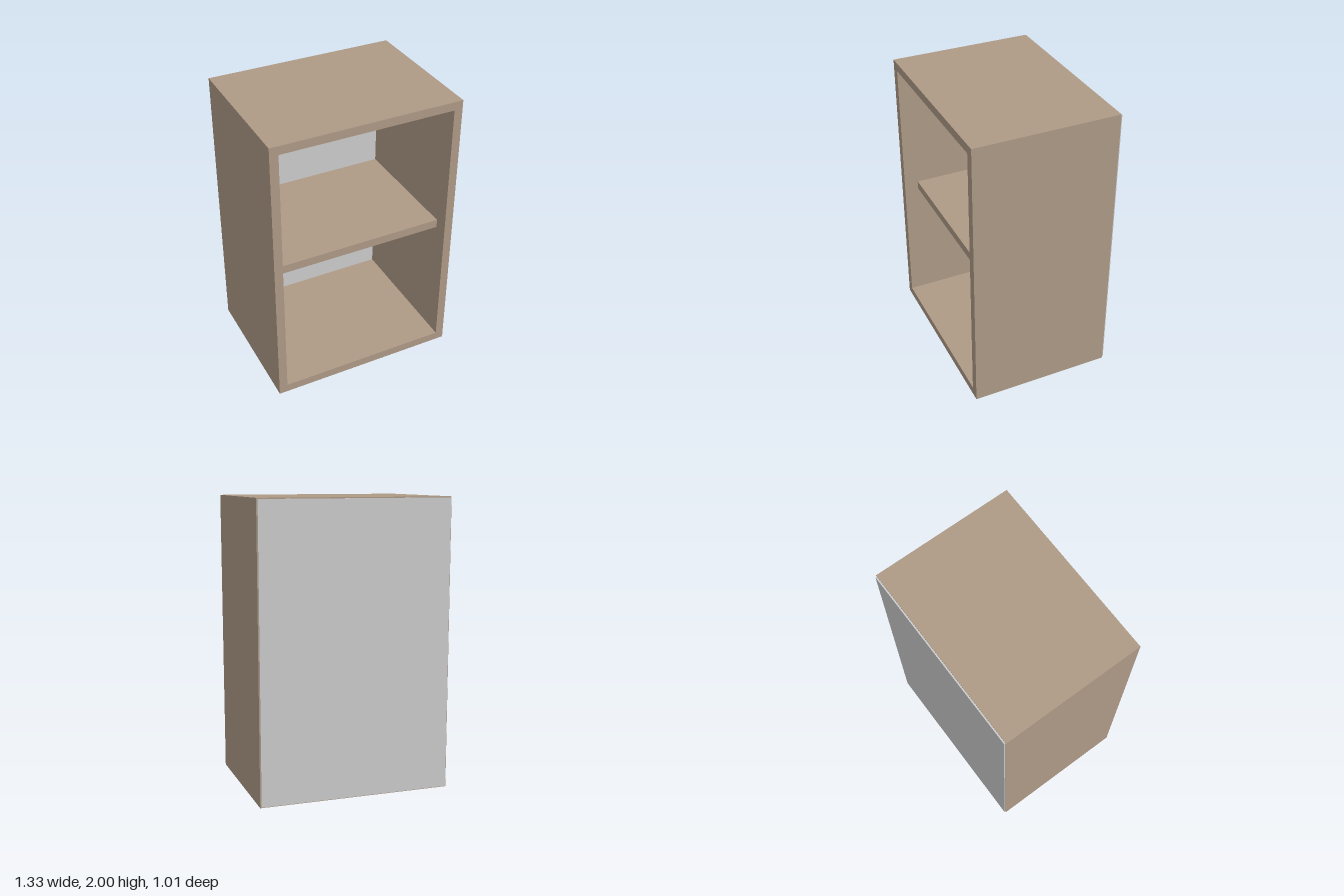
import * as THREE from 'three';

const W = 1.333, H = 2, D = 1;      // carcass size
const T = 0.06;                     // board thickness
const BACK = 0.01;                  // back panel thickness
const Z = BACK / 2;                 // carcass centre, leaving room for the back panel
const SHELF_RECESS = 0.1;

export function createModel() {
  const wood = new THREE.MeshStandardMaterial({ color: 0xae9a86 });
  wood.name = 'light brown wood';
  const grey = new THREE.MeshStandardMaterial({ color: 0xcccccc });
  grey.name = 'pale grey panel';

  const cabinet = new THREE.Group();
  cabinet.name = 'cabinet';

  const board = (name, material, size, position) => {
    const mesh = new THREE.Mesh(new THREE.BoxGeometry(...size), material);
    mesh.name = name;
    mesh.position.set(...position);
    cabinet.add(mesh);
  };

  // Full-height sides
  for (const [name, side] of [['leftSide', 1], ['rightSide', -1]]) {
    board(name, wood, [T, H, D], [side * (W - T) / 2, H / 2, Z]);
  }

  // Top and bottom boards, flush between the sides
  const inner = W - 2 * T;
  board('top', wood, [inner, T, D], [0, H - T / 2, Z]);
  board('bottom', wood, [inner, T, D], [0, T / 2, Z]);

  // Middle shelf, set back from the front edge
  board('shelf', wood, [inner, T, D - SHELF_RECESS], [0, H / 2, Z - SHELF_RECESS / 2]);

  // Thin back panel, slightly smaller than the carcass
  board('backPanel', grey, [W - 0.014, H - 0.014, BACK], [0, H / 2, Z - D / 2 - BACK / 2]);

  return cabinet;
}
